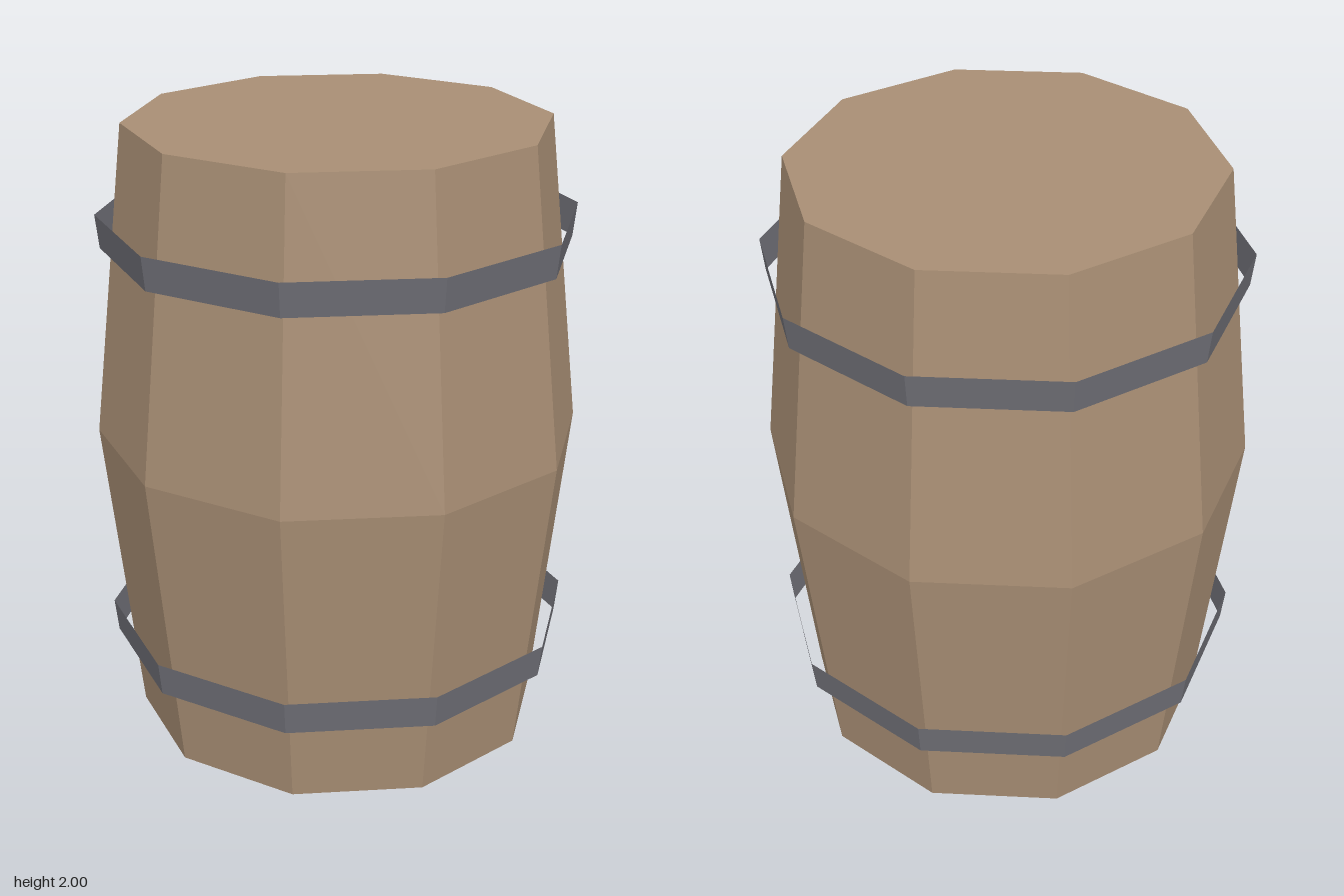
import * as THREE from 'three';

const SIDES = 10;
const START = Math.PI / 2; // puts a corner on the x axis

export function createModel() {
  const wood = new THREE.MeshStandardMaterial({ color: 0xa88e74, flatShading: true });
  wood.name = 'wood';
  const iron = new THREE.MeshStandardMaterial({ color: 0x6e6e75, flatShading: true, side: THREE.DoubleSide });
  iron.name = 'iron';

  const barrel = new THREE.Group();
  barrel.name = 'barrel';

  // Closed wooden body, bulging at mid height
  const profile = [[0, 0], [0.665, 0], [0.775, 1], [0.665, 2], [0, 2]]
    .map(([r, y]) => new THREE.Vector2(r, y));
  const body = new THREE.Mesh(new THREE.LatheGeometry(profile, SIDES, START), wood);
  body.name = 'body';
  barrel.add(body);

  // Thin open iron bands standing clear of the staves, both flaring upwards
  const hoopGeometry = new THREE.CylinderGeometry(0.755, 0.743, 0.107, SIDES, 1, true, START);
  for (const [name, y] of [['lowerHoop', 0.325], ['upperHoop', 1.662]]) {
    const hoop = new THREE.Mesh(hoopGeometry, iron);
    hoop.name = name;
    hoop.position.y = y;
    barrel.add(hoop);
  }

  return barrel;
}
